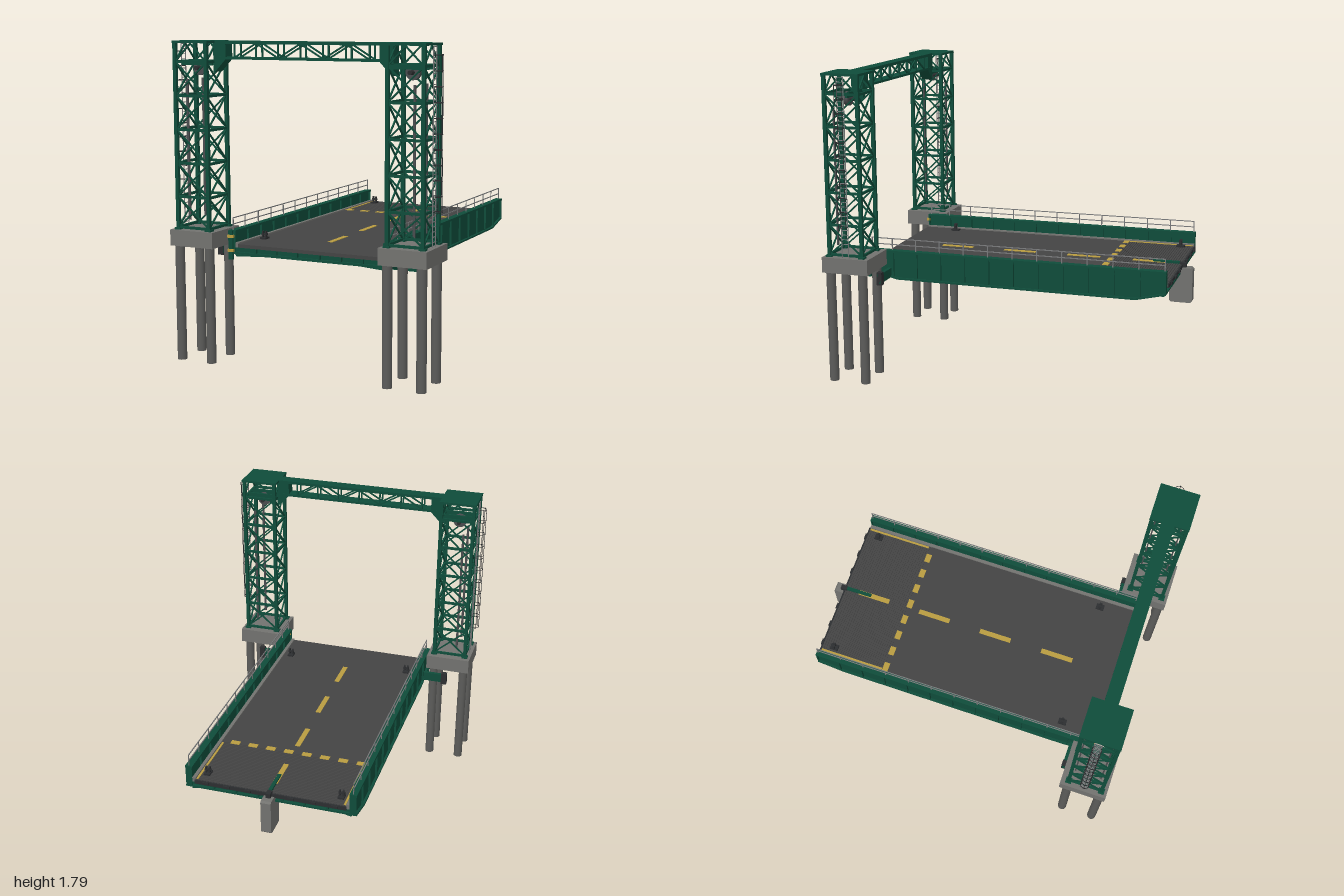
import * as THREE from 'three';
import { mergeGeometries } from 'three/addons/utils/BufferGeometryUtils.js';

const mat = (name, color) => new THREE.MeshStandardMaterial({ name, color });
const V = (x, y, z) => new THREE.Vector3(x, y, z);

// box from its limits
function box(x0, x1, y0, y1, z0, z1) {
  return new THREE.BoxGeometry(Math.abs(x1 - x0), y1 - y0, z1 - z0)
    .translate((x0 + x1) / 2, (y0 + y1) / 2, (z0 + z1) / 2);
}
// square bar between two points
function bar(a, b, w, d = w) {
  const dir = b.clone().sub(a);
  const m = new THREE.Matrix4().lookAt(a, b, Math.abs(dir.y) > 0.999 * dir.length() ? V(0, 0, 1) : V(0, 1, 0));
  return new THREE.BoxGeometry(w, d, dir.length()).applyMatrix4(m)
    .translate((a.x + b.x) / 2, (a.y + b.y) / 2, (a.z + b.z) / 2);
}
function rod(x, y0, y1, z, r, n = 8) {
  return new THREE.CylinderGeometry(r, r, y1 - y0, n).translate(x, (y0 + y1) / 2, z);
}
// flat outline extruded along z
function plate(points, depth) {
  const shape = new THREE.Shape(points.map(p => new THREE.Vector2(p[0], p[1])));
  return new THREE.ExtrudeGeometry(shape, { depth, bevelEnabled: false }).translate(0, 0, -depth / 2);
}

export function createModel() {
  const root = new THREE.Group();
  root.name = 'liftBridge';
  const green = mat('bridgeGreen', 0x0f4c3a), road = mat('asphalt', 0x444444);
  const concrete = mat('concrete', 0x72726f), pile = mat('pileGrey', 0x5c5c5a);
  const steel = mat('steel', 0x4a4c4e), dark = mat('darkSteel', 0x2c2e30);
  const yellow = mat('yellowPaint', 0xb89c40), rail = mat('railGrey', 0x77797a);
  const add = (name, material, geoms, parent = root) => {
    const mesh = new THREE.Mesh(mergeGeometries(geoms.map(g => g.index ? g.toNonIndexed() : g)), material);
    mesh.name = name;
    parent.add(mesh);
  };

  const Z = 0.865, H = 0.1, levels = [0.757, 0.93, 1.117, 1.303, 1.49, 1.675];
  for (const s of [-1, 1]) {
    const tower = new THREE.Group();
    tower.name = s > 0 ? 'leftTower' : 'rightTower';
    root.add(tower);
    const X = 0.64 * s;

    // foundation
    add('pileCap', concrete, [box(0.5 * s, 0.775 * s, 0.655, 0.745, 0.72, 1)], tower);
    const piles = [];
    for (const x of [0.54, 0.735]) for (const z of [0.768, 0.965]) piles.push(rod(x * s, 0, 0.66, z, 0.027, 16));
    add('piles', pile, piles, tower);

    // corner legs, rings and cross bracing
    const legs = [], rings = [], braces = [];
    for (const i of [-1, 1]) for (const j of [-1, 1]) {
      const x = X + i * H, z = Z + j * H;
      legs.push(box(x - 0.01, x + 0.01, 0.745, 1.78, z - 0.01, z + 0.01));
      legs.push(box(x - 0.018, x + 0.018, 0.745, 0.755, z - 0.018, z + 0.018));
    }
    for (let k = 0; k < 6; k++) for (const j of [-1, 1]) {
      const y = levels[k], zf = Z + j * H, xf = X + j * H;
      rings.push(bar(V(X - H, y, zf), V(X + H, y, zf), 0.012, 0.014));
      rings.push(bar(V(xf, y, Z - H), V(xf, y, Z + H), 0.012, 0.014));
      const y2 = k < 5 ? levels[k + 1] : 1.775;
      for (const d of [-1, 1]) {
        if (k < 5) {
          braces.push(bar(V(X - d * H, y, zf), V(X + d * H, y2, zf), 0.008));
          braces.push(bar(V(xf, y, Z - d * H), V(xf, y2, Z + d * H), 0.008));
        } else {
          braces.push(bar(V(X + d * H, y, zf), V(X, y2, zf), 0.008));
          braces.push(bar(V(xf, y, Z + d * H), V(xf, y2, Z), 0.008));
        }
      }
    }
    add('towerLegs', green, legs, tower);
    add('towerRings', green, rings, tower);
    add('towerBracing', green, braces, tower);
    add('towerRoof', green, [box(X - 0.113, X + 0.113, 1.777, 1.79, Z - 0.112, Z + 0.112)], tower);

    // sheave with its axle and bearers
    const disc = (r, d) => new THREE.CylinderGeometry(r, r, d, 24).rotateX(Math.PI / 2).translate(X, 1.64, Z);
    add('sheave', steel, [disc(0.04, 0.025)], tower);
    add('sheaveAxle', dark, [disc(0.012, 0.1)], tower);
    add('sheaveBearers', green, [-0.035, 0.035].map(d =>
      box(X - H, X + H, 1.655, 1.685, Z + d - 0.006, Z + d + 0.006)), tower);
    add('guideRails', steel, [-0.08, 0.075].map(d =>
      box(0.673 * s, 0.686 * s, 0.8, 1.58, Z + d - 0.004, Z + d + 0.004)), tower);

    // ladder and safety cage
    const ladder = [], cage = [];
    for (const d of [-0.02, 0.02]) ladder.push(rod(0.756 * s, 0.745, 1.775, 0.86 + d, 0.003, 6));
    for (let y = 0.77; y < 1.77; y += 0.027) ladder.push(box(0.754 * s, 0.758 * s, y, y + 0.004, 0.84, 0.88));
    for (let y = 0.93; y < 1.76; y += 0.08)
      cage.push(new THREE.TorusGeometry(0.025, 0.002, 4, 16).rotateX(Math.PI / 2).translate(0.775 * s, y, 0.86));
    for (const a of [-1.1, 0, 1.1])
      cage.push(rod((0.775 + 0.025 * Math.cos(a)) * s, 0.93, 1.735, 0.86 + 0.025 * Math.sin(a), 0.0018, 5));
    add('ladder', rail, ladder, tower);
    add('ladderCage', dark, cage, tower);

    // knee gusset joining the portal beam
    const knee = [[0.54, 1.785], [0.462, 1.785], [0.462, 1.69], [0.53, 1.62], [0.54, 1.62]];
    add('portalGusset', green, [plate(knee.map(p => [p[0] * s, p[1]]), 0.07).translate(0, 0, 0.857)], tower);
  }

  // portal beam
  const portal = [box(-0.55, 0.55, 1.773, 1.79, 0.82, 0.895), box(-0.5, 0.5, 1.69, 1.703, 0.82, 0.895)];
  for (const z of [0.825, 0.89]) for (let i = -3; i <= 3; i++) {
    const x = i * 0.135, up = i % 2 === 0;
    portal.push(bar(V(x, 1.695, z), V(x, 1.78, z), 0.008));
    if (i < 3) portal.push(bar(V(x, up ? 1.778 : 1.7, z), V(x + 0.135, up ? 1.7 : 1.778, z), 0.008));
  }
  add('portalBeam', green, portal);

  // lift span: deck, grating and kerbs
  const span = new THREE.Group();
  span.name = 'liftSpan';
  root.add(span);
  const z0 = -0.93, z1 = 0.83, P = (z1 - z0) / 12;
  add('roadDeck', road, [box(-0.44, 0.44, 0.64, 0.66, -0.51, z1), box(-0.44, 0.44, 0.64, 0.656, z0, -0.51)], span);
  const grating = [];
  for (let z = z0 + 0.005; z < -0.515; z += 0.014) grating.push(box(-0.43, 0.43, 0.655, 0.66, z, z + 0.009));
  add('deckGrating', road, grating, span);
  add('kerbs', concrete, [-1, 1].map(s => box(0.436 * s, 0.456 * s, 0.64, 0.668, z0, z1)), span);

  // painted road markings
  const marks = [];
  const stripe = (xa, xb, za, zb) => marks.push(box(xa, xb, 0.659, 0.663, za, zb));
  for (let i = 0; i < 4; i++) stripe(-0.015, 0.015, -0.84 + i * 0.4, -0.64 + i * 0.4);
  for (let i = 0; i < 8; i++) stripe(-0.434 + i * 0.109, -0.379 + i * 0.109, -0.527, -0.492);
  for (const s of [-1, 1]) stripe(0.421 * s, 0.433 * s, -0.925, -0.53);
  add('roadMarkings', yellow, marks, span);

  // side girders with flanges, stiffeners and railings
  for (const s of [-1, 1]) {
    const outline = [[z0, 0.735], [z0, 0.605], [-0.76, 0.565], [0.66, 0.565], [z1, 0.605], [z1, 0.735]];
    const web = plate(outline.map(p => [-p[0], p[1]]), 0.014).rotateY(Math.PI / 2).translate(0.475 * s, 0, 0);
    const girder = [web, box(0.454 * s, 0.496 * s, 0.725, 0.737, z0, z1),
      box(0.454 * s, 0.496 * s, 0.565, 0.575, -0.76, 0.66),
      bar(V(0.475 * s, 0.61, z0), V(0.475 * s, 0.57, -0.76), 0.042, 0.01),
      bar(V(0.475 * s, 0.61, z1), V(0.475 * s, 0.57, 0.66), 0.042, 0.01)];
    const railing = [0.77, 0.805].map(y => bar(V(0.475 * s, y, z0 + 0.008), V(0.475 * s, y, z1 - 0.01), 0.005));
    for (let i = 0; i <= 12; i++) {
      const z = z0 + i * P;
      const zz = Math.min(Math.max(z, z0 + 0.003), z1 - 0.003);
      girder.push(box(0.456 * s, 0.494 * s, i % 12 ? 0.58 : 0.61, 0.73, zz - 0.003, zz + 0.003));
      const zr = Math.min(z + 0.01, z1 - 0.01);
      railing.push(box(0.473 * s, 0.477 * s, 0.735, 0.807, zr - 0.003, zr + 0.003));
    }
    add('sideGirder', green, girder, span);
    add('railing', rail, railing, span);

    // end guides with warning bands
    add('guideBracket', green, [box(0.47 * s, 0.497 * s, 0.57, 0.735, 0.825, 0.84)], span);
    add('warningBands', yellow, [0.615, 0.695].map(y => box(0.462 * s, 0.499 * s, y, y + 0.016, 0.823, 0.848)), span);
    // lifting beam end blocks
    add('liftBlock', dark, [box(0.605 * s, 0.64 * s, 0.565, 0.64, 0.695, 0.725)], span);

    // deck bitts
    for (const z of [-0.855, 0.62]) {
      const x = 0.39 * s;
      add('deckBitt', dark, [box(x - 0.018, x + 0.018, 0.658, 0.67, z - 0.025, z + 0.025),
        box(x - 0.014, x - 0.006, 0.67, 0.705, z - 0.008, z + 0.008),
        box(x + 0.006, x + 0.014, 0.67, 0.705, z - 0.008, z + 0.008),
        box(x - 0.018, x + 0.018, 0.682, 0.692, z - 0.006, z + 0.006)], span);
    }
  }

  // floor beams, stringers and lateral bracing
  const beams = [], stringers = [], lateral = [];
  for (let i = 0; i <= 6; i++) {
    const z = Math.min(Math.max(z0 + i * 2 * P, z0 + 0.02), z1 - 0.02), low = i % 6 ? 0.575 : 0.608;
    beams.push(box(-0.47, 0.47, low, 0.642, z - 0.005, z + 0.005));
    beams.push(box(-0.47, 0.47, low - 0.004, low + 0.006, z - 0.02, z + 0.02));
    if (i < 6) for (const s of [-1, 1])
      lateral.push(bar(V(-0.465 * s, 0.592, z0 + i * 2 * P + 0.02), V(0.465 * s, 0.592, z0 + (i + 1) * 2 * P - 0.02), 0.018, 0.01));
  }
  for (const x of [-0.33, -0.2, -0.07, 0.07, 0.2, 0.33]) stringers.push(box(x - 0.006, x + 0.006, 0.61, 0.642, z0, z1));
  add('floorBeams', green, beams, span);
  add('stringers', green, stringers, span);
  add('lateralBracing', green, lateral, span);
  add('liftingBeam', green, [box(-0.64, 0.64, 0.575, 0.63, 0.7, 0.72)], span);

  // joint teeth along the free end
  const teeth = [box(-0.44, 0.44, 0.635, 0.657, -0.938, -0.929)];
  for (let i = -3; i <= 3; i++) if (i) teeth.push(box(i * 0.125 - 0.018, i * 0.125 + 0.018, 0.64, 0.655, -0.946, -0.93));
  add('endJoint', dark, teeth, span);

  // centre lock pin and its housing below the free end
  add('lockPin', green, [box(-0.01, 0.01, 0.655, 0.672, -0.92, -0.76)], span);
  add('lockHead', dark, [box(-0.014, 0.014, 0.63, 0.668, -0.96, -0.92)], span);
  const block = [[0.866, 0.61], [0.866, 0.442], [0.876, 0.432], [0.99, 0.432], [1, 0.442], [1, 0.63], [0.99, 0.64], [0.93, 0.64]];
  add('lockHousing', concrete, [plate(block, 0.06).rotateY(Math.PI / 2)], span);
  return root;
}
